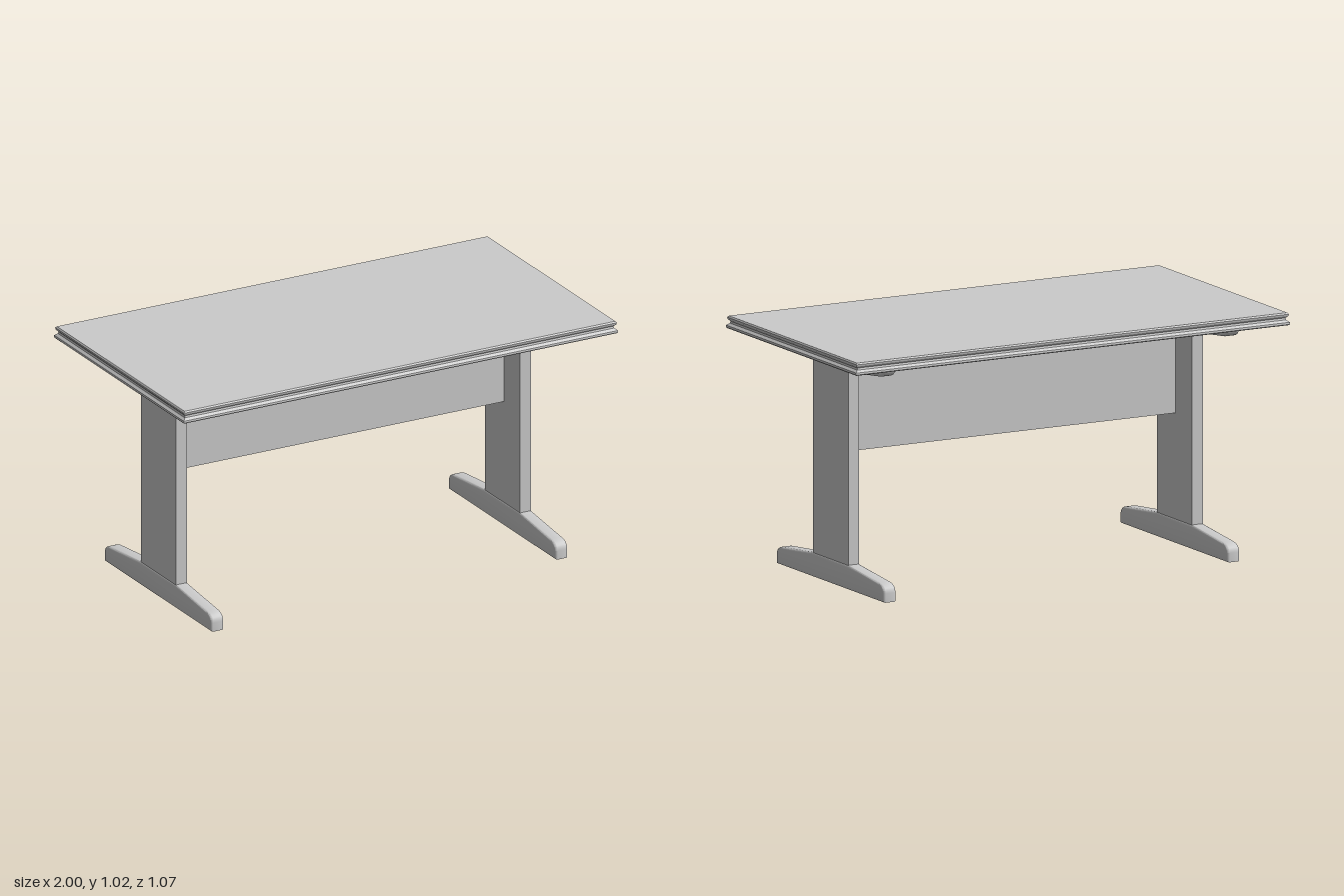
import * as THREE from 'three';
import { toCreasedNormals } from 'three/addons/utils/BufferGeometryUtils.js';

const material = new THREE.MeshStandardMaterial({ color: 0xcccccc });
const HALF_DEPTH = 0.533;

function addMesh(parent, name, geometry) {
  const mesh = new THREE.Mesh(geometry, material);
  mesh.name = name;
  parent.add(mesh);
  return mesh;
}

// Rectangular slab whose edge follows a moulded profile of [inset, height]
function tabletopGeometry() {
  const edge = [[0.004, 0.967], [0, 0.971], [0.001, 0.979], [0.012, 0.988],
    [0.014, 0.996], [0.006, 1.004], [0.004, 1.012], [0.009, 1.018]];
  const points = edge.map(([inset, y]) => new THREE.Vector2((1 - inset) * Math.SQRT2, y));
  points.unshift(new THREE.Vector2(0, 0.967));
  points.push(new THREE.Vector2(0, 1.018));
  const geometry = new THREE.LatheGeometry(points, 4, Math.PI / 4);
  // Squeeze the square plan to a rectangle, keeping the moulding width
  const pos = geometry.attributes.position;
  for (let i = 0; i < pos.count; i++) {
    const z = pos.getZ(i);
    if (Math.abs(z) > 0.1) pos.setZ(i, Math.sign(z) * (Math.abs(z) - 1 + HALF_DEPTH));
  }
  const flat = geometry.toNonIndexed();
  flat.computeVertexNormals();
  return flat;
}

// Tapered bar along z: flat base at y = 0, raised middle, rounded ends
function barGeometry(endHeight, midHeight, width) {
  const bevel = 0.008, half = 0.44 - bevel, mid = 0.14;
  const low = bevel, end = endHeight - bevel, top = midHeight - bevel;
  const shape = new THREE.Shape();
  shape.moveTo(-half, low);
  shape.lineTo(half, low);
  shape.lineTo(half, end - 0.03);
  shape.quadraticCurveTo(half, end - 0.003, half - 0.04, end);
  shape.lineTo(mid, top);
  shape.lineTo(-mid, top);
  shape.lineTo(-half + 0.04, end);
  shape.quadraticCurveTo(-half, end - 0.003, -half, end - 0.03);
  shape.closePath();
  const depth = width - 2 * bevel;
  const geometry = new THREE.ExtrudeGeometry(shape, {
    depth, bevelSize: bevel, bevelThickness: bevel, bevelSegments: 3, curveSegments: 6,
  });
  geometry.translate(0, 0, -depth / 2).rotateY(Math.PI / 2);
  return toCreasedNormals(geometry, 0.6);
}

export function createModel() {
  const model = new THREE.Group();
  model.name = 'table';

  addMesh(model, 'tabletop', tabletopGeometry());

  // Trestle at each end: foot, upright board and support under the top
  const foot = barGeometry(0.075, 0.1, 0.057);
  const support = barGeometry(0.05, 0.08, 0.057);
  const upright = new THREE.BoxGeometry(0.05, 0.81, 0.288);
  for (const side of [1, -1]) {
    const trestle = new THREE.Group();
    trestle.name = side > 0 ? 'leftTrestle' : 'rightTrestle';
    trestle.position.x = side * 0.792;
    addMesh(trestle, 'foot', foot);
    addMesh(trestle, 'upright', upright).position.y = 0.495;
    const bracket = addMesh(trestle, 'topSupport', support);
    bracket.position.y = 0.97;
    bracket.rotation.z = Math.PI;
    model.add(trestle);
  }

  // Modesty panel joining the uprights
  addMesh(model, 'panel', new THREE.BoxGeometry(1.55, 0.335, 0.02)).position.y = 0.702;

  return model;
}
